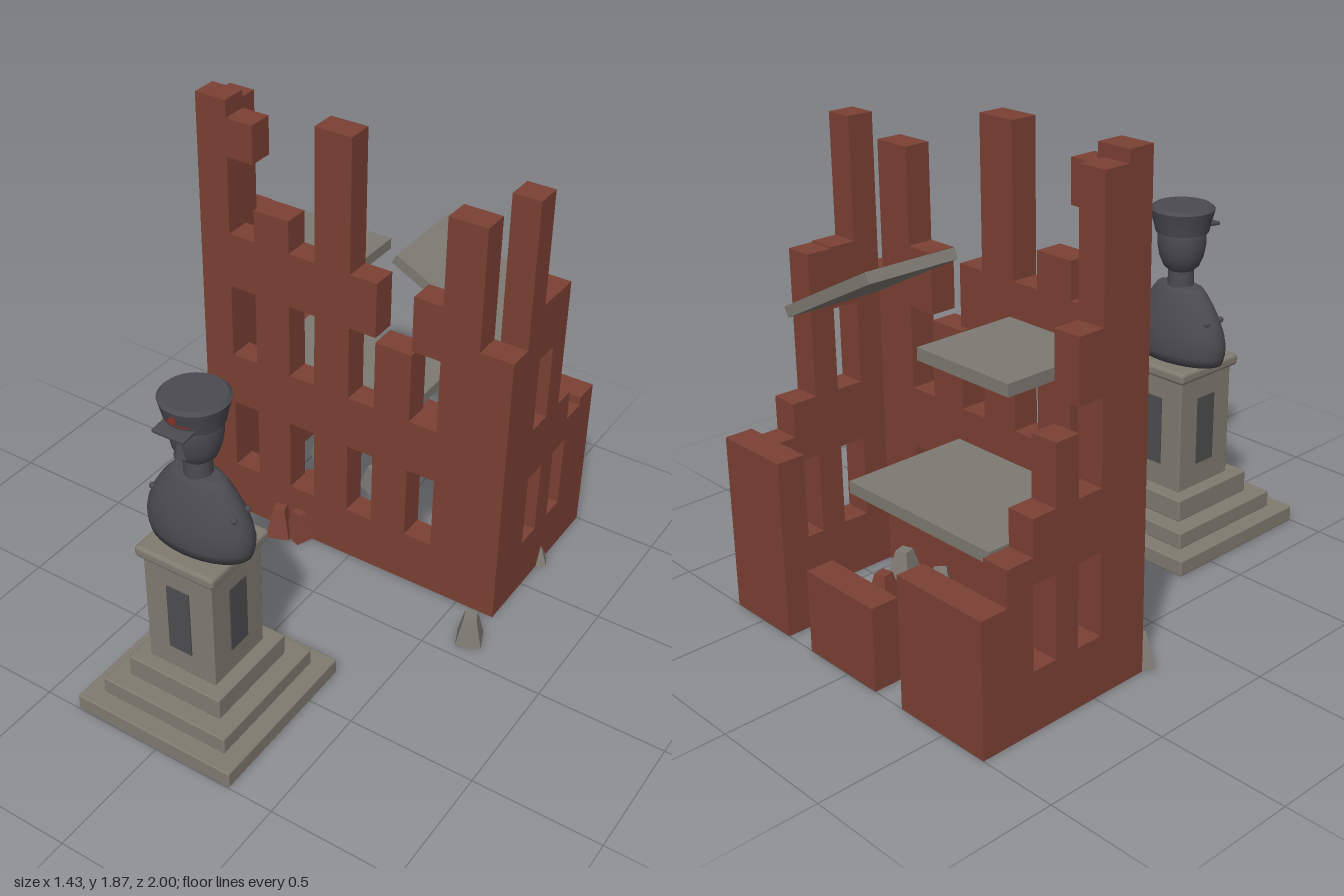
import * as THREE from 'three';
import { mergeGeometries } from 'three/addons/utils/BufferGeometryUtils.js';
import { RoundedBoxGeometry } from 'three/addons/geometries/RoundedBoxGeometry.js';

const mat = (name, color, side = THREE.FrontSide) => {
  const m = new THREE.MeshStandardMaterial({ color, side });
  m.name = name;
  return m;
};

export function createModel() {
  const brick = mat('brick red', 0x7a4033);
  const concrete = mat('concrete grey', 0x7d7972);
  const stone = mat('plinth stone', 0x807a70);
  const bronze = mat('dark bronze', 0x4a4a50, THREE.DoubleSide);
  const plate = mat('plaque grey', 0x4d4c4e);
  const red = mat('badge red', 0x8c3024);

  const model = new THREE.Group();
  const add = (parent, name, geo, material, x = 0, y = 0, z = 0) => {
    const m = new THREE.Mesh(geo, material);
    m.name = name;
    m.position.set(x, y, z);
    parent.add(m);
    return m;
  };
  const block = (x0, x1, y0, y1, z0, z1) =>
    new THREE.BoxGeometry(x1 - x0, y1 - y0, z1 - z0)
      .translate((x0 + x1) / 2, (y0 + y1) / 2, (z0 + z1) / 2);

  // ---- Ruined building: each wall is a row of columns [start, end, ...solid spans] ----
  const ruin = new THREE.Group();
  ruin.name = 'ruinedBuilding';
  model.add(ruin);
  const low = [0, 0.23], mid = [0.545, 0.775], high = [1.09, 1.32];

  const frontColumns = [
    [-0.695, -0.56, [0, 1.865]],
    [-0.56, -0.445, low, mid, high, [1.64, 1.795]],
    [-0.445, -0.29, [0, 1.455]],
    [-0.29, -0.175, low, mid, high],
    [-0.175, -0.02, [0, 1.865]],
    [-0.02, 0.095, low, mid, high],
    [0.095, 0.25, [0, 1.07]],
    [0.25, 0.37, low, mid, high],
    [0.37, 0.525, [0, 1.68]],
    [0.525, 0.66, [0, 1.185]],
  ];
  const backColumns = [
    [-0.695, -0.29, [0, 0.505]],
    [-0.15, 0.21, [0, 0.32]],
    [0.345, 0.66, [0, 0.68]],
  ];
  const sideColumns = (tower, pier, end) => [
    [-0.475, -0.37, [0, tower]],
    [-0.58, -0.475, low, mid, high],
    [-0.68, -0.58, [0, pier]],
    [-0.78, -0.68, low, mid],
    [-0.89, -0.78, [0, end]],
  ];
  const alongX = (z0, z1) => (a, b, y0, y1) => block(a, b, y0, y1, z0, z1);
  const alongZ = (x0, x1) => (a, b, y0, y1) => block(x0, x1, y0, y1, a, b);
  const wall = (name, columns, make) => add(ruin, name, mergeGeometries(
    columns.flatMap(([a, b, ...spans]) => spans.map(([y0, y1]) => make(a, b, y0, y1)))), brick);
  wall('frontWall', frontColumns, alongX(-0.37, -0.265));
  wall('backWall', backColumns, alongX(-1, -0.89));
  wall('leftWall', sideColumns(1.775, 1.315, 0.645), alongZ(0.55, 0.66));
  wall('rightWall', sideColumns(1.82, 1.0, 0.64), alongZ(-0.695, -0.585));

  // Floor slabs, the top one fallen at an angle
  add(ruin, 'lowerFloor', block(-0.585, 0.12, 0.605, 0.65, -0.865, -0.37), concrete);
  add(ruin, 'upperFloor', block(-0.585, -0.155, 1.145, 1.19, -0.775, -0.37), concrete);
  add(ruin, 'fallenSlab', new THREE.BoxGeometry(0.53, 0.042, 0.385), concrete, 0.325, 1.243, -0.583)
    .rotation.z = -0.47;

  // Rubble: tapered chunks [x, z, height, turn, material]
  const chunks = [
    [-0.65, -0.23, 0.11, 0.9, concrete], [-0.545, -0.17, 0.12, 0.1, concrete],
    [0.645, -0.11, 0.125, 0.4, concrete], [-0.32, -0.23, 0.13, 0.35, brick],
    [-0.24, -0.26, 0.125, 1.2, brick], [0.495, -0.81, 0.12, 0.7, brick],
    [0.63, -0.67, 0.08, 0.5, concrete], [0.4, -0.42, 0.11, 0.3, concrete],
    [0.2, -0.41, 0.1, 0.9, concrete], [0.3, -0.6, 0.12, 0.2, brick],
    [0.05, -0.55, 0.12, 0.6, concrete], [-0.15, -0.7, 0.11, 1.1, concrete],
    [-0.35, -0.5, 0.12, 0.4, brick], [-0.45, -0.75, 0.12, 0.8, concrete],
  ];
  for (const [x, z, h, turn, material] of chunks) {
    const geo = new THREE.CylinderGeometry(0.034, 0.07, h, 4).rotateY(Math.PI / 4).toNonIndexed();
    geo.computeVertexNormals();
    add(ruin, 'rubble', geo, material, x, h / 2, z).rotation.y = turn;
  }

  // ---- Monument ----
  const monument = new THREE.Group();
  monument.name = 'monument';
  monument.position.set(-0.017, 0, 0.66);
  model.add(monument);

  // Steps, shaft and cornice: [name, width, bottom, top, edge radius]
  for (const [name, w, y0, y1, r] of [
    ['bottomStep', 0.676, 0, 0.066, 0.006], ['middleStep', 0.54, 0.066, 0.135, 0.006],
    ['topStep', 0.402, 0.135, 0.225, 0.006], ['shaft', 0.29, 0.22, 0.695, 0.006],
    ['cornice', 0.335, 0.688, 0.736, 0.016],
  ]) add(monument, name, new RoundedBoxGeometry(w, y1 - y0, w, 2, r), stone, 0, (y0 + y1) / 2, 0);

  // One plaque on each side of the shaft
  for (let i = 0; i < 4; i++) {
    const a = i * Math.PI / 2;
    add(monument, 'plaque', new THREE.BoxGeometry(0.096, 0.28, 0.008), plate,
      Math.sin(a) * 0.146, 0.46, Math.cos(a) * 0.146).rotation.y = a;
  }

  // Bust
  const lathe = (points) => new THREE.LatheGeometry(points.map((p) => new THREE.Vector2(...p)), 32);
  add(monument, 'torso', lathe([[0, 0.736], [0.205, 0.736], [0.215, 0.77], [0.217, 0.81], [0.208, 0.855],
    [0.185, 0.91], [0.155, 0.96], [0.125, 1.0], [0.105, 1.022], [0.08, 1.028], [0, 1.028]])
    .scale(1, 1, 0.53), bronze);
  add(monument, 'neck', new THREE.CylinderGeometry(0.05, 0.052, 0.08, 24), bronze, 0, 1.055, 0);
  add(monument, 'head', lathe([[0, 1.08], [0.045, 1.083], [0.07, 1.105], [0.086, 1.145], [0.094, 1.19],
    [0.094, 1.23], [0.088, 1.27], [0, 1.28]]), bronze);
  for (const sx of [-1, 1]) for (const sz of [-1, 1])
    add(monument, 'shoulderButton', new THREE.SphereGeometry(0.012, 10, 8), bronze, sx * 0.172, 0.912, sz * 0.04);

  // Nose as a wedge pyramid, and a thin mouth
  const nose = new THREE.ConeGeometry(0.026, 0.075, 4).toNonIndexed();
  nose.computeVertexNormals();
  add(monument, 'nose', nose, bronze, 0, 1.178, 0.092);
  add(monument, 'mouth', new THREE.BoxGeometry(0.036, 0.008, 0.008), bronze, 0, 1.125, 0.078);

  // Cap with a flared crown and a short peak
  const cap = new THREE.Group();
  cap.name = 'cap';
  monument.add(cap);
  add(cap, 'capBand', new THREE.CylinderGeometry(0.112, 0.103, 0.04, 32), bronze, 0, 1.262, 0);
  add(cap, 'capCrown', new THREE.CylinderGeometry(0.125, 0.112, 0.05, 32), bronze, 0, 1.306, 0);
  add(cap, 'capTop', new THREE.CylinderGeometry(0.112, 0.125, 0.012, 32), bronze, 0, 1.337, 0);
  add(cap, 'peak', new RoundedBoxGeometry(0.13, 0.014, 0.085, 2, 0.005), bronze, 0, 1.256, 0.107)
    .rotation.x = 0.1;
  add(cap, 'capStripe', new THREE.CylinderGeometry(0.1145, 0.1135, 0.007, 24, 1, true, -0.5, 1), red, 0, 1.279, 0);
  add(cap, 'capBadge', new THREE.CylinderGeometry(0.017, 0.017, 0.008, 4).rotateX(Math.PI / 2), red, 0, 1.3, 0.118);

  return model;
}
